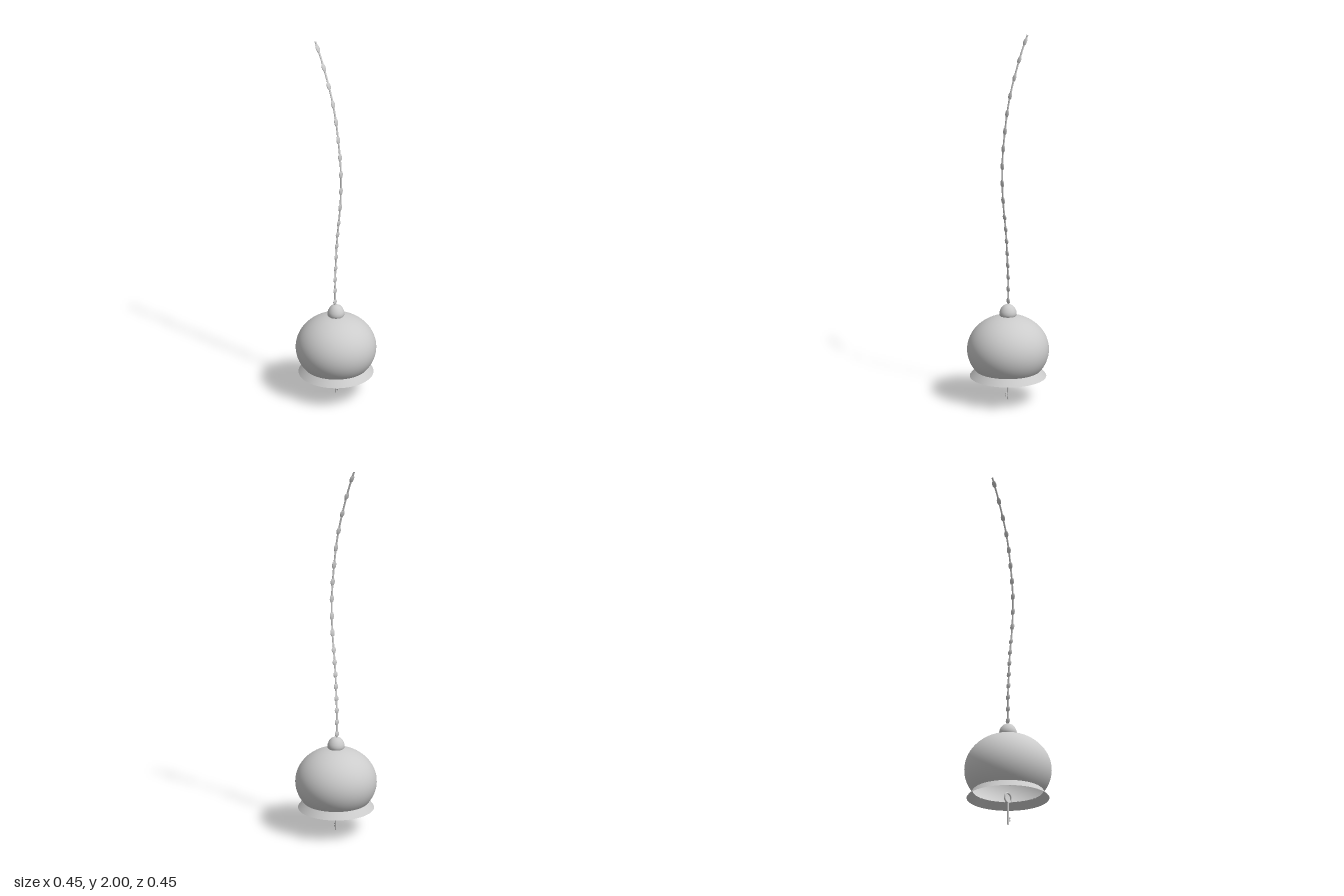
import * as THREE from 'three';

export function createModel() {
  const root = new THREE.Group();
  const mat = new THREE.MeshStandardMaterial({ color: 0xcccccc, side: THREE.DoubleSide });
  const add = (name, geo, parent = root) => {
    const mesh = new THREE.Mesh(geo, mat);
    mesh.name = name;
    parent.add(mesh);
    return mesh;
  };
  const v2 = (x, y) => new THREE.Vector2(x, y);

  // Bell body: open ellipsoid shell, cut off at the neck
  const body = [];
  const cut = Math.asin(-0.115 / 0.193);
  for (let i = 0; i <= 32; i++) {
    const a = cut + (Math.PI / 2 - cut) * (i / 32);
    body.push(v2(Math.max(0.226 * Math.cos(a), 0), 0.29 + 0.193 * Math.sin(a)));
  }
  add('bellBody', new THREE.LatheGeometry(body, 64));

  // Flared lip below the neck
  add('bellLip', new THREE.LatheGeometry([v2(0.212, 0.138), v2(0.181, 0.176)], 64));

  // Rounded cap on the crown
  const cap = [[0.04, 0.475], [0.046, 0.483], [0.0475, 0.495], [0.045, 0.508], [0.038, 0.523],
    [0.027, 0.536], [0.014, 0.543], [0, 0.545]];
  add('crownCap', new THREE.LatheGeometry(cap.map(p => v2(...p)), 40));

  // Bent cord: x at every 0.1 of height from y = 0.5 to y = 2
  const bend = [-0.005, -0.004, -0.003, 0.002, 0.008, 0.018, 0.03, 0.037,
    0.038, 0.031, 0.018, 0.002, -0.022, -0.055, -0.093, -0.138];
  const path = new THREE.CatmullRomCurve3(
    bend.map((x, i) => new THREE.Vector3(x, 0.5 + i * 0.1, 0)), false, 'catmullrom', 0.5);
  const chain = new THREE.Group();
  chain.name = 'chain';
  chain.position.z = 0.003;
  root.add(chain);
  const cord = new THREE.TubeGeometry(path, 100, 0.0035, 8);
  cord.scale(1, 1, 1.8);
  add('cord', cord, chain);

  // Flat beads threaded on the cord, closer together in the lower part
  const up = new THREE.Vector3(0, 1, 0);
  for (let i = 0; i < 18; i++) {
    const y = i < 8 ? 0.562 + i * 0.067 : 1.031 + (i - 7) * 0.0933;
    const t = (y - 0.5) / 1.5;
    const bead = add('bead', new THREE.SphereGeometry(1, 14, 10), chain);
    bead.scale.set(0.005, i < 8 ? 0.017 : 0.022, 0.0145);
    bead.position.copy(path.getPoint(t));
    bead.quaternion.setFromUnitVectors(up, path.getTangent(t));
  }

  // Small key hanging in the mouth of the bell
  const key = new THREE.Group();
  key.name = 'key';
  root.add(key);
  const ring = add('keyRing', new THREE.TorusGeometry(0.025, 0.005, 10, 28), key);
  ring.position.y = 0.14;
  const shaft = add('keyShaft', new THREE.CylinderGeometry(0.005, 0.005, 0.114, 12), key);
  shaft.position.y = 0.057;
  for (const y of [0.022, 0.035]) {
    const tooth = add('keyTooth', new THREE.BoxGeometry(0.014, 0.008, 0.004), key);
    tooth.position.set(0.01, y, 0);
  }

  // Thin hanger inside the shell
  const hanger = new THREE.CatmullRomCurve3([
    new THREE.Vector3(0, 0.48, 0), new THREE.Vector3(0.006, 0.35, 0),
    new THREE.Vector3(0.014, 0.26, 0), new THREE.Vector3(0.018, 0.21, 0)]);
  add('innerHanger', new THREE.TubeGeometry(hanger, 24, 0.004, 8));

  return root;
}
